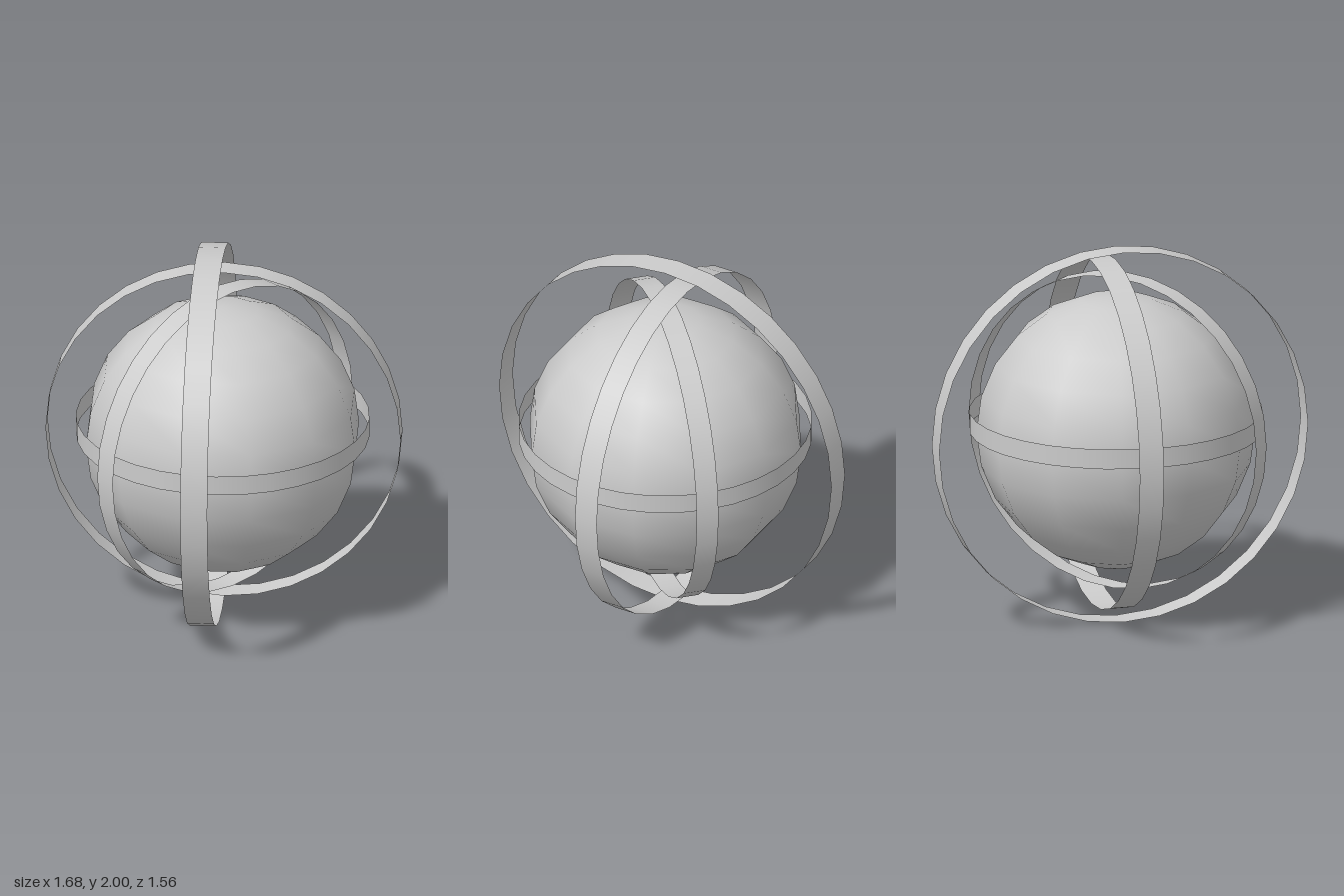
import * as THREE from 'three';

export function createModel() {
  const model = new THREE.Group();
  const solid = new THREE.MeshStandardMaterial({ color: 0xcccccc });
  const thin = new THREE.MeshStandardMaterial({ color: 0xcccccc, side: THREE.DoubleSide });

  // Central globe, coarse but smooth shaded
  const globe = new THREE.Mesh(new THREE.SphereGeometry(0.727, 12, 12), solid);
  globe.name = 'globe';
  globe.position.set(0, 1.005, 0.01);
  model.add(globe);

  // A thin open band; upright ones stand in the xy plane, then turn about y
  function addBand(name, radius, width, position, upright, turn = 0) {
    const geometry = new THREE.CylinderGeometry(radius, radius, width, 32, 1, true);
    if (upright) geometry.rotateX(Math.PI / 2);
    const band = new THREE.Mesh(geometry, thin);
    band.name = name;
    band.position.set(...position);
    band.rotation.y = turn;
    model.add(band);
  }

  addBand('outerDiagonalRing', 1.0, 0.141, [-0.05, 1.0, -0.04], true, 0.758);
  addBand('innerDiagonalRing', 0.928, 0.131, [0.05, 1.0, -0.034], true, -0.82);
  addBand('frontFacingRing', 0.842, 0.119, [0, 1.0, 0.03], true);
  addBand('equatorRing', 0.765, 0.106, [0, 1.06, 0.012], false);

  return model;
}
